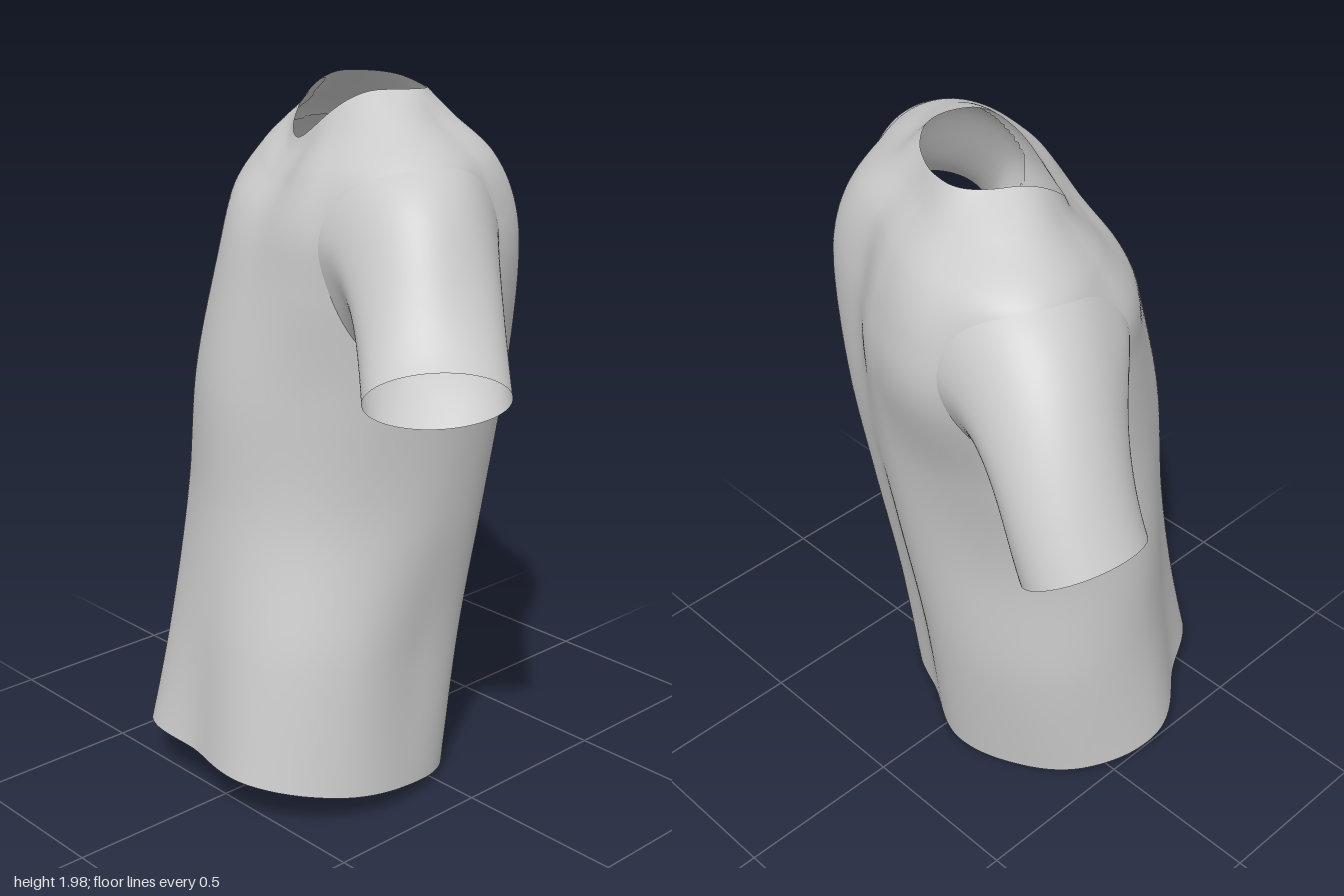
import * as THREE from 'three';

const cloth = new THREE.MeshStandardMaterial({ color: 0xcccccc, side: THREE.DoubleSide });
const TAU = Math.PI * 2;

// Smooth value through four neighbours
const cubic = (a, b, c, d, t) =>
  b + 0.5 * t * (c - a + t * (2 * a - 5 * b + 4 * c - d + t * (3 * (b - c) + d - a)));

// Blend a list of section rows at t in 0..1
function blendRows(rows, t) {
  const last = rows.length - 1;
  const s = t * last;
  const i = Math.min(Math.floor(s), last - 1);
  const row = (k) => rows[Math.max(0, Math.min(last, k))];
  return rows[i].map((_, k) => cubic(row(i - 1)[k], row(i)[k], row(i + 1)[k], row(i + 2)[k], s - i));
}

// Skin a closed tube from point(angle, t); cells where isHole(angle, t) are left open
function loft(name, point, steps, around, isHole = () => false) {
  const pos = [], index = [];
  for (let j = 0; j <= steps; j++) {
    for (let i = 0; i < around; i++) pos.push(...point((i / around) * TAU, j / steps).toArray());
  }
  for (let j = 0; j < steps; j++) {
    for (let i = 0; i < around; i++) {
      if (isHole(((i + 0.5) / around) * TAU, (j + 0.5) / steps)) continue;
      const a = j * around + i, b = j * around + ((i + 1) % around);
      index.push(a, a + around, b, b, a + around, b + around);
    }
  }
  const geo = new THREE.BufferGeometry();
  geo.setAttribute('position', new THREE.Float32BufferAttribute(pos, 3));
  geo.setIndex(index);
  geo.computeVertexNormals();
  const mesh = new THREE.Mesh(geo, cloth);
  mesh.name = name;
  return mesh;
}

// Torso sections from hem to neckline: y, centre x, centre z, front dip,
// then radii every 30 degrees, turning from +x towards +z
const torsoRows = [
  [0.047, -0.06, 0.15, 0, 0.45, 0.49, 0.49, 0.41, 0.45, 0.41, 0.48, 0.465, 0.42, 0.40, 0.365, 0.43],
  [0.45, -0.06, 0.10, 0, 0.43, 0.475, 0.475, 0.42, 0.42, 0.40, 0.45, 0.46, 0.43, 0.41, 0.37, 0.44],
  [0.85, -0.045, 0.05, 0, 0.46, 0.44, 0.43, 0.425, 0.41, 0.41, 0.465, 0.44, 0.41, 0.42, 0.39, 0.46],
  [1.2, -0.02, 0, 0, 0.48, 0.475, 0.45, 0.455, 0.435, 0.43, 0.47, 0.48, 0.45, 0.42, 0.39, 0.46],
  [1.5, 0, -0.03, 0, 0.50, 0.52, 0.48, 0.42, 0.40, 0.42, 0.49, 0.53, 0.53, 0.43, 0.365, 0.45],
  [1.68, 0, -0.04, 0.03, 0.49, 0.56, 0.48, 0.37, 0.35, 0.39, 0.49, 0.56, 0.52, 0.40, 0.335, 0.43],
  [1.82, 0, -0.05, 0.08, 0.43, 0.56, 0.42, 0.29, 0.27, 0.31, 0.41, 0.54, 0.45, 0.33, 0.285, 0.36],
  [1.92, -0.01, -0.055, 0.12, 0.28, 0.37, 0.28, 0.22, 0.215, 0.23, 0.28, 0.37, 0.31, 0.23, 0.21, 0.25],
  [1.99, -0.02, -0.06, 0.15, 0.21, 0.21, 0.20, 0.19, 0.19, 0.20, 0.21, 0.215, 0.215, 0.18, 0.165, 0.18],
];

function torsoPoint(angle, t) {
  const [y, cx, cz, dip, ...radii] = blendRows(torsoRows, t);
  const s = (((angle + TAU) % TAU) / TAU) * 12;
  const i = Math.floor(s);
  const at = (k) => radii[(k + 12) % 12];
  const r = cubic(at(i - 1), at(i), at(i + 1), at(i + 2), s - i);
  const x = cx + r * Math.cos(angle);
  const z = cz + r * Math.sin(angle);
  // slanted hem below, scooped neckline above
  const slant = (0.19 * z - 0.04 * x) * Math.max(0, 1 - y) ** 2;
  const facing = Math.cos(angle - TAU / 3);
  const drop = facing > 0 ? dip * facing ** 2 : 0.12 * dip * facing ** 2;
  return new THREE.Vector3(x, y + slant - drop, z);
}

// Each sleeve runs from an oval armhole on the torso to an oval cuff
const sleeves = [
  {
    name: 'leftSleeve',
    hole: { angle: 0.47, t: 0.595, width: 0.52, height: 0.175 },
    shoulder: new THREE.Vector3(0.87, -0.12, 0.48),
    cuff: new THREE.Vector3(0.695, 1.32, 0.37),
    axis: new THREE.Vector3(0.6, -0.63, 0.49),
    depth: 0.185, rise: 0.125,
  },
  {
    name: 'rightSleeve',
    hole: { angle: 3.63, t: 0.58, width: 0.52, height: 0.175 },
    shoulder: new THREE.Vector3(-0.88, -0.2, -0.43),
    cuff: new THREE.Vector3(-0.705, 1.24, -0.395),
    axis: new THREE.Vector3(-0.49, -0.87, -0.04),
    depth: 0.175, rise: 0.145,
  },
];

// Each lengthwise line leaves the torso smoothly and arrives square to the cuff
function sleevePoint({ hole, shoulder, cuff, axis, depth, rise }) {
  const along = axis.clone().normalize();
  const side = new THREE.Vector3().crossVectors(along, new THREE.Vector3(0, 1, 0)).normalize();
  const top = new THREE.Vector3().crossVectors(side, along);
  return (angle, t) => {
    const c = Math.cos(angle), s = Math.sin(angle);
    const onTorso = (k) => torsoPoint(hole.angle + k * hole.width * c, hole.t + k * hole.height * s);
    const start = onTorso(1);
    const end = cuff.clone().addScaledVector(side, depth * c).addScaledVector(top, rise * s);
    const pull = 0.35 * start.distanceTo(end);
    const inward = onTorso(0.85).sub(start).normalize();
    const leave = shoulder.clone().addScaledVector(inward, 0.7).normalize();
    return new THREE.CubicBezierCurve3(
      start,
      start.clone().addScaledVector(leave, pull),
      end.clone().addScaledVector(along, -pull),
      end,
    ).getPoint(t);
  };
}

// True just inside either armhole, so the sleeves open into the torso
const inArmhole = (angle, t) => sleeves.some(({ hole }) => {
  const turn = Math.atan2(Math.sin(angle - hole.angle), Math.cos(angle - hole.angle));
  return Math.hypot(turn / hole.width, (t - hole.t) / hole.height) < 0.97;
});

export function createModel() {
  const shirt = new THREE.Group();
  shirt.name = 'tShirt';
  shirt.add(loft('torso', torsoPoint, 160, 240, inArmhole));
  for (const sleeve of sleeves) shirt.add(loft(sleeve.name, sleevePoint(sleeve), 30, 80));
  return shirt;
}
